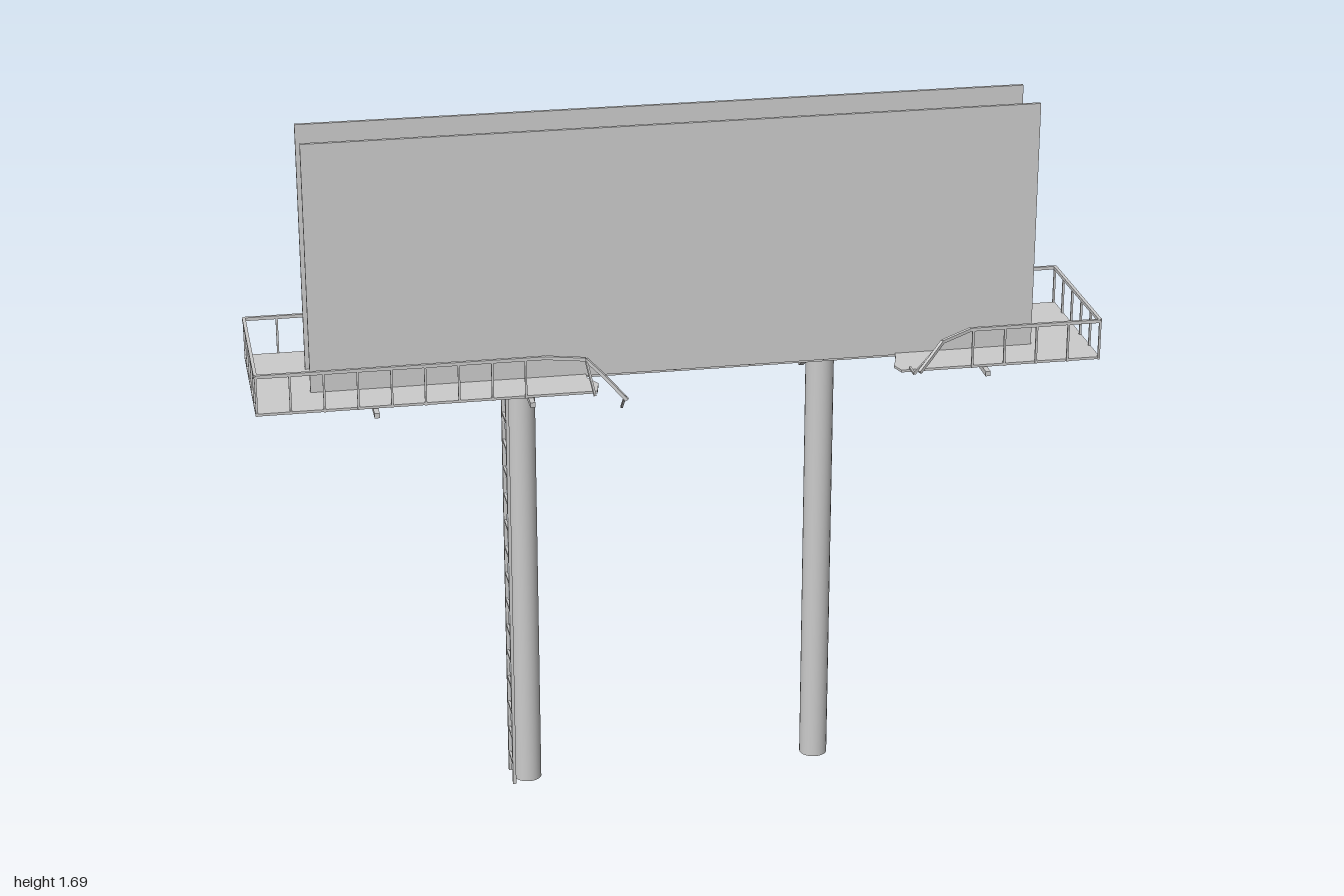
import * as THREE from 'three';

const MID_Z = -0.012;        // centre line of the structure
const FRONT = 0.177, BACK = -0.203;
const DECK_Y = 1.083, RAIL_Y = 1.18;

export function createModel() {
  const model = new THREE.Group();
  const mat = new THREE.MeshStandardMaterial({ color: 0xcccccc });
  const V = (x, y, z) => new THREE.Vector3(x, y, z);

  function add(parent, name, geo) {
    const mesh = new THREE.Mesh(geo, mat);
    mesh.name = name;
    parent.add(mesh);
    return mesh;
  }
  function group(name) {
    const g = new THREE.Group();
    g.name = name;
    model.add(g);
    return g;
  }
  function box(parent, name, w, h, d, x, y, z) {
    const mesh = add(parent, name, new THREE.BoxGeometry(w, h, d));
    mesh.position.set(x, y, z);
    return mesh;
  }
  // square bar running between two points
  function bar(parent, name, a, b, t) {
    const mesh = add(parent, name, new THREE.BoxGeometry(t, t, a.distanceTo(b)));
    mesh.position.copy(a).add(b).multiplyScalar(0.5);
    mesh.lookAt(b);
    return mesh;
  }
  function path(parent, name, points, t) {
    for (let i = 1; i < points.length; i++) bar(parent, name, points[i - 1], points[i], t);
  }

  // two round columns and the torsion beam lying across their tops
  for (const x of [-0.365, 0.36]) {
    const column = add(model, 'column', new THREE.CylinderGeometry(0.034, 0.034, 1.43, 24));
    column.position.set(x, 0.715, MID_Z + 0.004);
  }
  const beam = add(model, 'torsionBeam', new THREE.CylinderGeometry(0.034, 0.034, 1.51, 8));
  beam.geometry.rotateY(Math.PI / 8);
  beam.rotation.z = Math.PI / 2;
  beam.position.set(-0.003, 1.43, MID_Z);

  // ladder on the outer side of one column
  const ladder = group('ladder');
  for (const s of [-1, 1]) box(ladder, 'ladderRail', 0.008, 1.21, 0.008, -0.403, 0.605, MID_Z + 0.004 + s * 0.037);
  for (let y = 0.05; y < 1.2; y += 0.07) box(ladder, 'rung', 0.006, 0.006, 0.074, -0.403, y, MID_Z + 0.004);

  // display panels, with uprights, bottom beams and stringers behind them
  const panels = group('panels');
  for (const s of [-1, 1]) {
    box(panels, 'panel', 1.727, 0.605, 0.009, -0.002, 1.3875, MID_Z + s * 0.075);
    box(panels, 'bottomBeam', 1.59, 0.016, 0.012, -0.005, 1.082, MID_Z + s * 0.056);
  }

  // cross frames between the panels
  const frames = group('crossFrames');
  for (let i = -4; i <= 4; i++) {
    const x = i * 0.1805 - 0.002;
    const f = MID_Z + 0.06, b = MID_Z - 0.06;
    for (const z of [f, b]) box(frames, 'upright', 0.012, 0.475, 0.019, x, 1.318, z);
    for (const y of [1.08, 1.425, 1.55]) box(frames, 'crossTie', 0.01, 0.01, 0.12, x, y, MID_Z);
    bar(frames, 'brace', V(x, 1.425, f), V(x, 1.55, b), 0.007);
    bar(frames, 'brace', V(x, 1.425, b), V(x, 1.55, f), 0.007);
  }

  // outriggers under the walkway, one of them torn and hanging
  const outriggers = group('outriggers');
  for (const x of [-0.725, -0.365, 0.72]) box(outriggers, 'outrigger', 0.012, 0.012, 0.425, x, 1.074, MID_Z);
  bar(outriggers, 'hangingOutrigger', V(0.36, 1.074, -0.04), V(0.36, 0.968, -0.215), 0.012);

  // broken walkway decks as x, z outlines with ragged inner edges
  const decks = [
    [[-1, BACK], [-0.49, BACK], [-0.455, -0.18], [-0.48, -0.15], [-0.47, -0.12], [-0.445, -0.09],
      [-0.45, -0.067], [-0.545, -0.067], [-0.545, 0.045], [-0.22, 0.045], [-0.22, 0.09],
      [-0.2, 0.13], [-0.21, FRONT], [-1, FRONT]],
    [[1, BACK], [0.715, BACK], [0.7, -0.155], [0.715, -0.12], [0.71, -0.067], [0.86, -0.067],
      [0.86, 0.045], [0.53, 0.045], [0.52, 0.1], [0.505, 0.145], [0.515, FRONT], [1, FRONT]],
  ];
  for (const outline of decks) {
    const shape = new THREE.Shape(outline.map(([x, z]) => new THREE.Vector2(x, -z)));
    const geo = new THREE.ExtrudeGeometry(shape, { depth: 0.006, bevelEnabled: false });
    geo.rotateX(-Math.PI / 2).translate(0, DECK_Y, 0);
    add(model, 'walkwayDeck', geo);
  }

  // guard rails: intact runs with posts, then bent broken ends
  const rails = group('guardRails');
  const post = (x, z) => box(rails, 'railPost', 0.005, RAIL_Y - DECK_Y, 0.005, x, (RAIL_Y + DECK_Y) / 2, z);
  const runs = [
    { s: -1, z: FRONT, end: 0.33, bent: [[-0.24, 1.178, 0.198], [-0.2, 1.14, 0.215], [-0.15, 1.085, 0.235]] },
    { s: -1, z: BACK, end: 0.5, bent: [[-0.43, 1.15, -0.215], [-0.385, 1.11, -0.23], [-0.335, 1.065, -0.255]] },
    { s: 1, z: FRONT, end: 0.68, bent: [[0.605, 1.165, 0.205], [0.57, 1.135, 0.23], [0.54, 1.11, 0.25]] },
    { s: 1, z: BACK, end: 0.7, bent: [[0.66, 1.13, -0.212], [0.635, 1.08, -0.222], [0.6, 1.04, -0.235]] },
  ];
  for (const { s, z, end, bent } of runs) {
    path(rails, 'rail', [V(s * 0.997, RAIL_Y, z), V(s * end, RAIL_Y, z), ...bent.map((p) => V(...p))], 0.008);
    for (let x = 0.997; x > end - 0.01; x -= 0.0775) post(s * x, z);
  }
  for (const s of [-1, 1]) {
    bar(rails, 'endRail', V(s * 0.997, RAIL_Y, BACK), V(s * 0.997, RAIL_Y, FRONT), 0.008);
    for (let i = 1; i < 5; i++) post(s * 0.997, BACK + (FRONT - BACK) * i / 5);
  }

  // loose posts dangling from the bent rails
  bar(rails, 'loosePost', V(-0.155, 1.095, 0.235), V(-0.155, 1.048, 0.185), 0.005);
  bar(rails, 'loosePost', V(-0.24, 1.178, 0.198), V(-0.225, 1.1, 0.235), 0.005);
  bar(rails, 'loosePost', V(0.6, 1.16, 0.208), V(0.535, 1.095, 0.22), 0.005);
  bar(rails, 'loosePost', V(0.535, 1.095, 0.22), V(0.535, 1.095, 0.18), 0.005);
  bar(rails, 'loosePost', V(-0.43, 1.15, -0.215), V(-0.4, 1.06, -0.23), 0.005);

  return model;
}
